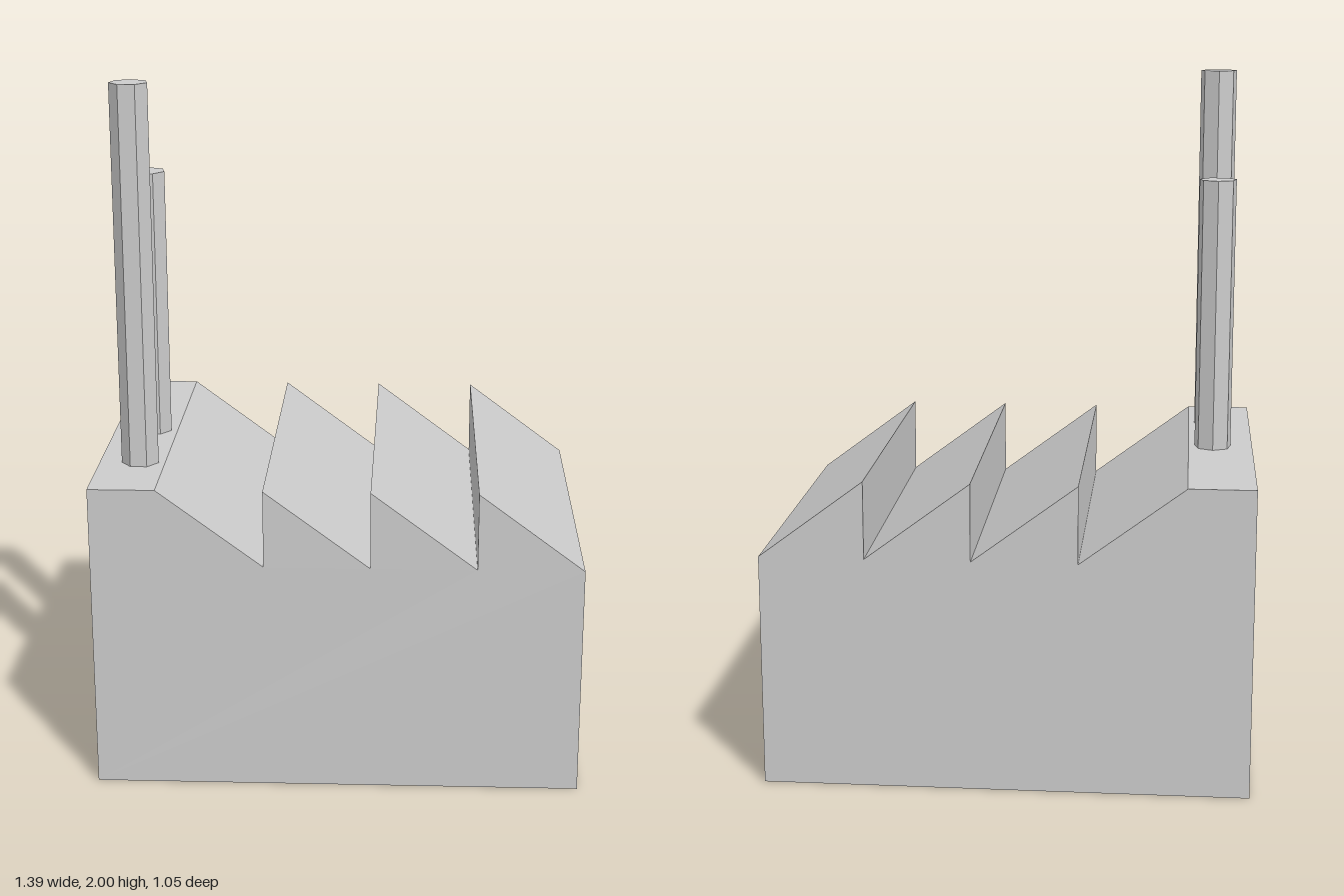
import * as THREE from 'three';

const material = new THREE.MeshStandardMaterial({ color: 0xcccccc, flatShading: true });
const HALF_WIDTH = 0.697, DEPTH = 1.054, RIDGE = 0.903, VALLEY = 0.678;
const TEETH = 4, TOOTH = 0.301;

// Hall: sawtooth roof profile extruded from back to front
function createHall() {
  const profile = new THREE.Shape();
  profile.moveTo(-HALF_WIDTH, 0);
  profile.lineTo(HALF_WIDTH, 0);
  for (let i = 0; i < TEETH; i++) {
    const x = HALF_WIDTH - i * TOOTH;
    profile.lineTo(x, VALLEY);
    // inner teeth rise vertically; each slope climbs towards -x
    profile.lineTo(x - TOOTH, RIDGE);
  }
  profile.lineTo(-HALF_WIDTH, RIDGE);
  profile.closePath();

  const geometry = new THREE.ExtrudeGeometry(profile, { depth: DEPTH, bevelEnabled: false });
  geometry.translate(0, 0, -DEPTH / 2);
  const hall = new THREE.Mesh(geometry, material);
  hall.name = 'sawtoothHall';
  return hall;
}

// Chimney: seven-sided column standing on the flat roof strip
function createChimney(name, top, z) {
  const height = top - RIDGE;
  const geometry = new THREE.CylinderGeometry(0.055, 0.055, height, 7, 1, false, Math.PI);
  const chimney = new THREE.Mesh(geometry, material);
  chimney.position.set(-0.579, RIDGE + height / 2, z);
  chimney.name = name;
  return chimney;
}

export function createModel() {
  const factory = new THREE.Group();
  factory.name = 'factory';
  factory.add(
    createHall(),
    createChimney('tallChimney', 2, 0.28),
    createChimney('shortChimney', 1.7, -0.02)
  );
  return factory;
}
